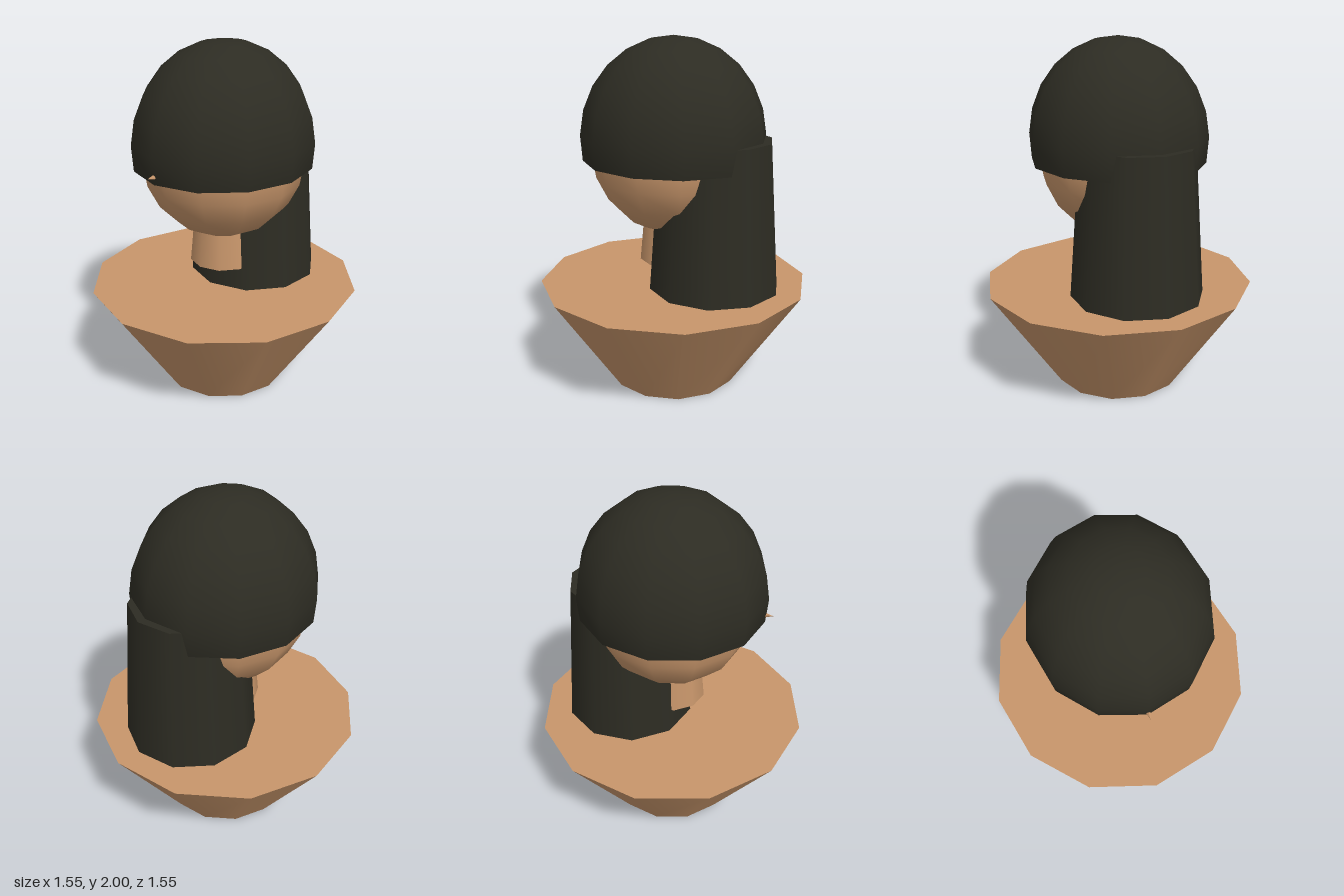
import * as THREE from 'three';

export function createModel() {
  const model = new THREE.Group();
  const skin = new THREE.MeshStandardMaterial({ color: 0xc8966b });
  skin.name = 'skin';
  const dark = new THREE.MeshStandardMaterial({ color: 0x2d2c23, side: THREE.DoubleSide });
  dark.name = 'dark hair';

  const add = (name, geometry, material, x, y, z) => {
    const mesh = new THREE.Mesh(geometry, material);
    mesh.name = name;
    mesh.position.set(x, y, z);
    model.add(mesh);
    return mesh;
  };
  // Tapered round part standing between two heights
  const taper = (name, rTop, rBottom, y0, y1, z, sides, material) =>
    add(name, new THREE.CylinderGeometry(rTop, rBottom, y1 - y0, sides), material, 0, (y0 + y1) / 2, z);

  // Shoulders widen upward to a flat top
  taper('shoulders', 0.775, 0.37, 0, 0.6, 0, 12, skin);

  // Neck, hanging below the head
  taper('neck', 0.17, 0.195, 0.73, 1.0, 0, 10, skin);

  // Slightly deep, rounded head
  add('head', new THREE.SphereGeometry(1, 12, 10), skin, 0, 1.355, 0).scale.set(0.45, 0.458, 0.465);

  // Nose tip, just poking out under the fringe
  const nose = new THREE.ConeGeometry(0.045, 0.14, 6);
  nose.rotateX(Math.PI / 2);
  add('nose', nose, skin, 0, 1.355, 0.49);

  // Long hair falling behind the head
  taper('backHair', 0.315, 0.375, 0.6, 1.45, -0.26, 10, dark);

  // Open dome of hair over the crown
  const dome = new THREE.SphereGeometry(1, 12, 7, 0, Math.PI * 2, 0, 1.78);
  add('hairCap', dome, dark, 0, 1.43, 0).scale.set(0.5, 0.57, 0.53);

  return model;
}
